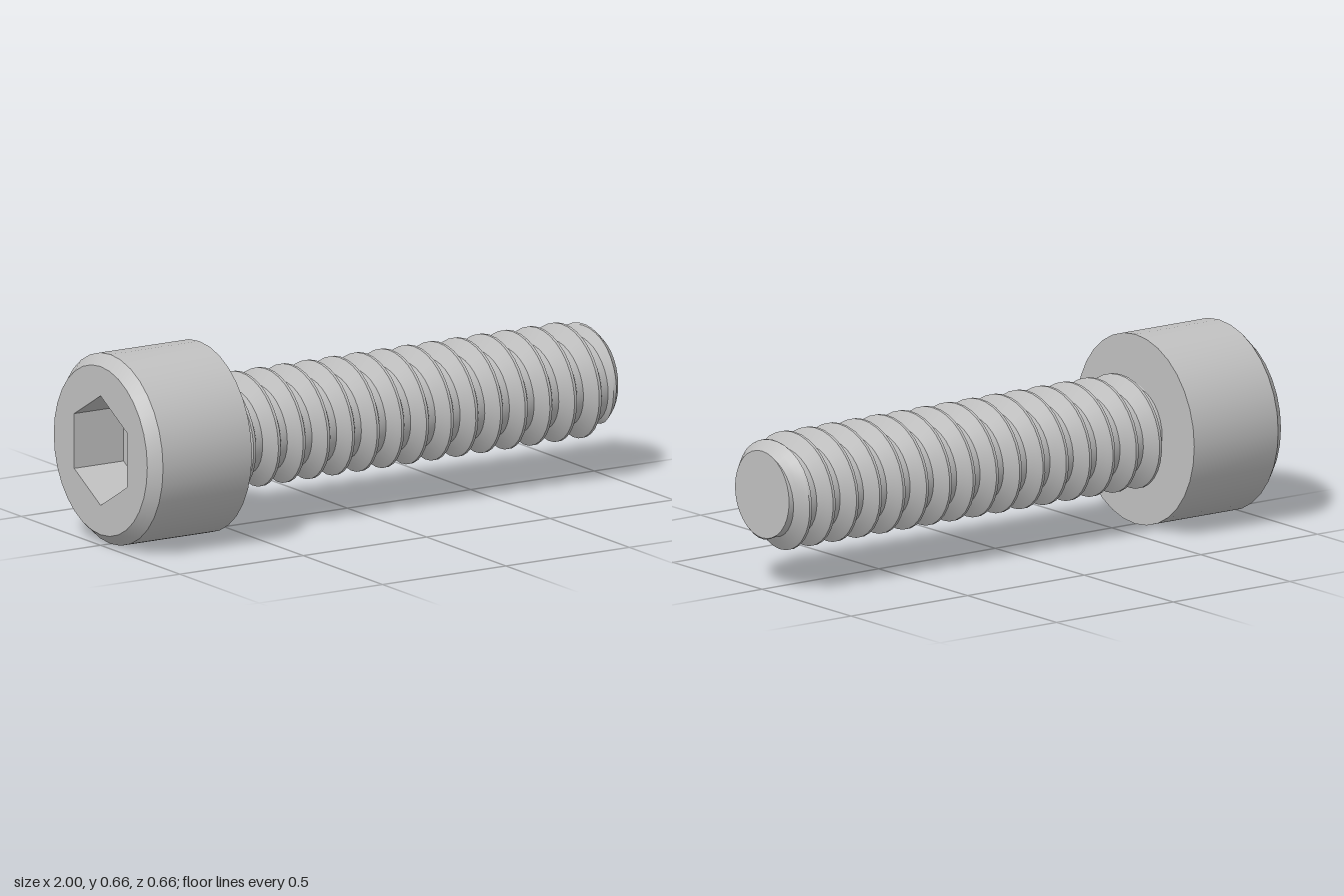
import * as THREE from 'three';
import { toCreasedNormals } from 'three/addons/utils/BufferGeometryUtils.js';

const AXIS_Y = 0.332, SIDES = 32;
const HEAD_START = -1, HEAD_END = -0.6, HEAD_R = 0.332, FACE_R = 0.295;
const SOCKET_R = 0.192, SOCKET_FLOOR = -0.8;
const PITCH = 0.1, CREST_R = 0.202, ROOT_R = 0.152, CREST_X = -0.53;
const CREST_HALF = 0.005, FLANK = 0.032;

// Solid of revolution about the x axis; points are [radius, x]
function turned(points, sides, phi = 0) {
  const g = new THREE.LatheGeometry(points.map(p => new THREE.Vector2(...p)), sides, phi);
  g.rotateZ(-Math.PI / 2);
  return toCreasedNormals(g, Math.PI / 6);
}

function polygon(r, n) {
  return Array.from({ length: n }, (_, i) => {
    const a = Math.PI / 2 + i / n * Math.PI * 2;
    return new THREE.Vector2(r * Math.cos(a), r * Math.sin(a));
  });
}

// Thread radius at a distance x along the axis, for an angle t around it
function threadRadius(x, t) {
  const turns = (x - CREST_X) / PITCH - t / (Math.PI * 2);
  const d = Math.abs(turns - Math.round(turns)) * PITCH;
  const k = THREE.MathUtils.clamp((d - CREST_HALF) / FLANK, 0, 1);
  const r = THREE.MathUtils.lerp(CREST_R, ROOT_R, k);
  return Math.min(r, ROOT_R + (1 - x)); // chamfered tip
}

// Helical surface: one column per angle, each column shifted along the axis
function threadGeometry() {
  const offsets = [-CREST_HALF, CREST_HALF];
  for (let i = 1; i <= 3; i++) offsets.push(CREST_HALF + FLANK * i / 3);
  for (let i = 3; i >= 1; i--) offsets.push(PITCH - CREST_HALF - FLANK * i / 3);
  const pos = [], idx = [];
  let rows = 0;
  for (let s = 0; s <= SIDES; s++) {
    const t = s / SIDES * Math.PI * 2;
    rows = 0;
    for (let k = -3; k <= 17; k++) {
      for (const o of offsets) {
        const raw = CREST_X + PITCH * (k + s / SIDES) + o;
        const x = THREE.MathUtils.clamp(raw, HEAD_END, 1);
        const r = threadRadius(x, t);
        pos.push(x, r * Math.cos(t), r * Math.sin(t));
        rows++;
      }
    }
  }
  for (let s = 0; s < SIDES; s++) {
    for (let j = 0; j < rows - 1; j++) {
      const a = s * rows + j, b = a + rows;
      // skip cells squashed flat against either end
      if (pos[a * 3] === pos[a * 3 + 3] && pos[b * 3] === pos[b * 3 + 3]) continue;
      idx.push(a, b, a + 1, b, b + 1, a + 1);
    }
  }
  const g = new THREE.BufferGeometry();
  g.setAttribute('position', new THREE.Float32BufferAttribute(pos, 3));
  g.setIndex(idx);
  return toCreasedNormals(g, Math.PI / 6);
}

export function createModel() {
  const steel = new THREE.MeshStandardMaterial({ color: 0xc0c0c0 });
  steel.name = 'steel grey';
  const screw = new THREE.Group();
  screw.name = 'socketHeadScrew';
  const add = (name, geometry) => {
    const m = new THREE.Mesh(geometry, steel);
    m.name = name;
    m.position.y = AXIS_Y;
    screw.add(m);
  };

  // Chamfered cylindrical head with its flat underside
  add('head', turned([
    [FACE_R, HEAD_START], [HEAD_R, HEAD_START + 0.04], [HEAD_R, HEAD_END], [0, HEAD_END],
  ], SIDES));

  // Drive face with the hexagonal opening
  const face = new THREE.Shape(polygon(FACE_R, SIDES));
  face.holes.push(new THREE.Path(polygon(SOCKET_R, 6)));
  add('headFace', new THREE.ShapeGeometry(face).rotateY(-Math.PI / 2).translate(HEAD_START, 0, 0));

  // Hexagonal recess: floor and inward facing walls
  add('hexSocket', turned([
    [0, SOCKET_FLOOR], [SOCKET_R, SOCKET_FLOOR], [SOCKET_R, HEAD_START],
  ], 6, Math.PI / 2));

  // Threaded shank and its flat tip
  add('thread', threadGeometry());
  add('tip', new THREE.CircleGeometry(ROOT_R, SIDES).rotateY(Math.PI / 2).translate(1, 0, 0));
  return screw;
}
